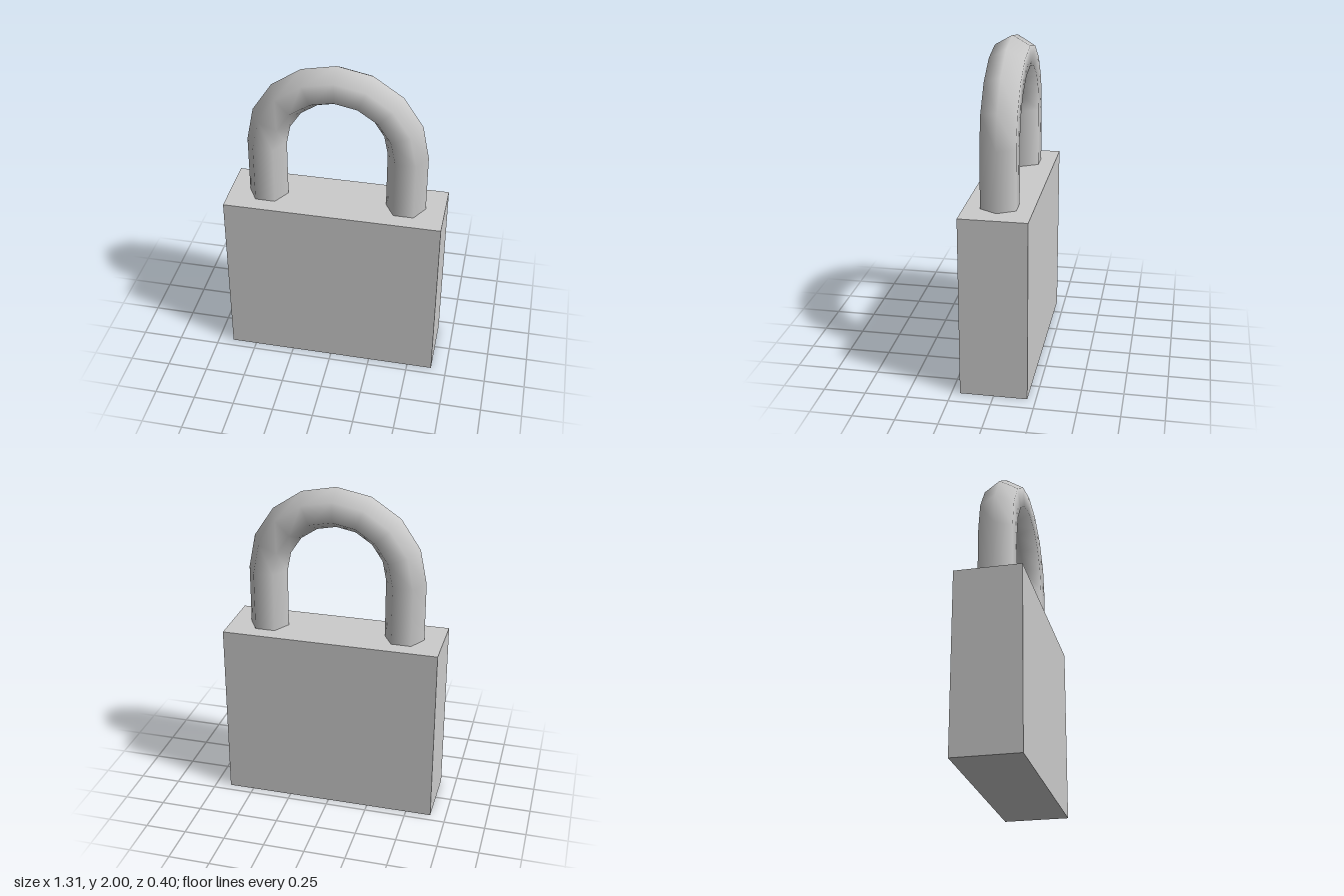
import * as THREE from 'three';

export function createModel() {
  const group = new THREE.Group();
  const material = new THREE.MeshStandardMaterial({ color: 0xcccccc });

  const bodyHeight = 1.1, bodyWidth = 1.31, bodyDepth = 0.4;
  const bend = 0.42, tube = 0.12, sides = 6;
  const bendY = 2 - bend - tube;

  function add(name, geometry, x, y) {
    const mesh = new THREE.Mesh(geometry, material);
    mesh.name = name;
    mesh.position.set(x, y, 0);
    return mesh;
  }

  // Solid block of the lock
  group.add(add('body', new THREE.BoxGeometry(bodyWidth, bodyHeight, bodyDepth), 0, bodyHeight / 2));

  // Shackle: six-sided half ring on two straight legs, set slightly into the body
  const shackle = new THREE.Group();
  shackle.name = 'shackle';
  shackle.add(add('shackleBow', new THREE.TorusGeometry(bend, tube, sides, 8, Math.PI), 0, bendY));

  const legBottom = bodyHeight - 0.02;
  const legLength = bendY - legBottom;
  for (const [name, side] of [['leftLeg', 1], ['rightLeg', -1]]) {
    // Corners face along x so they meet the corners of the bow
    const leg = new THREE.CylinderGeometry(tube, tube, legLength, sides, 1, true, Math.PI / 2);
    shackle.add(add(name, leg, side * bend, legBottom + legLength / 2));
  }
  group.add(shackle);

  return group;
}
